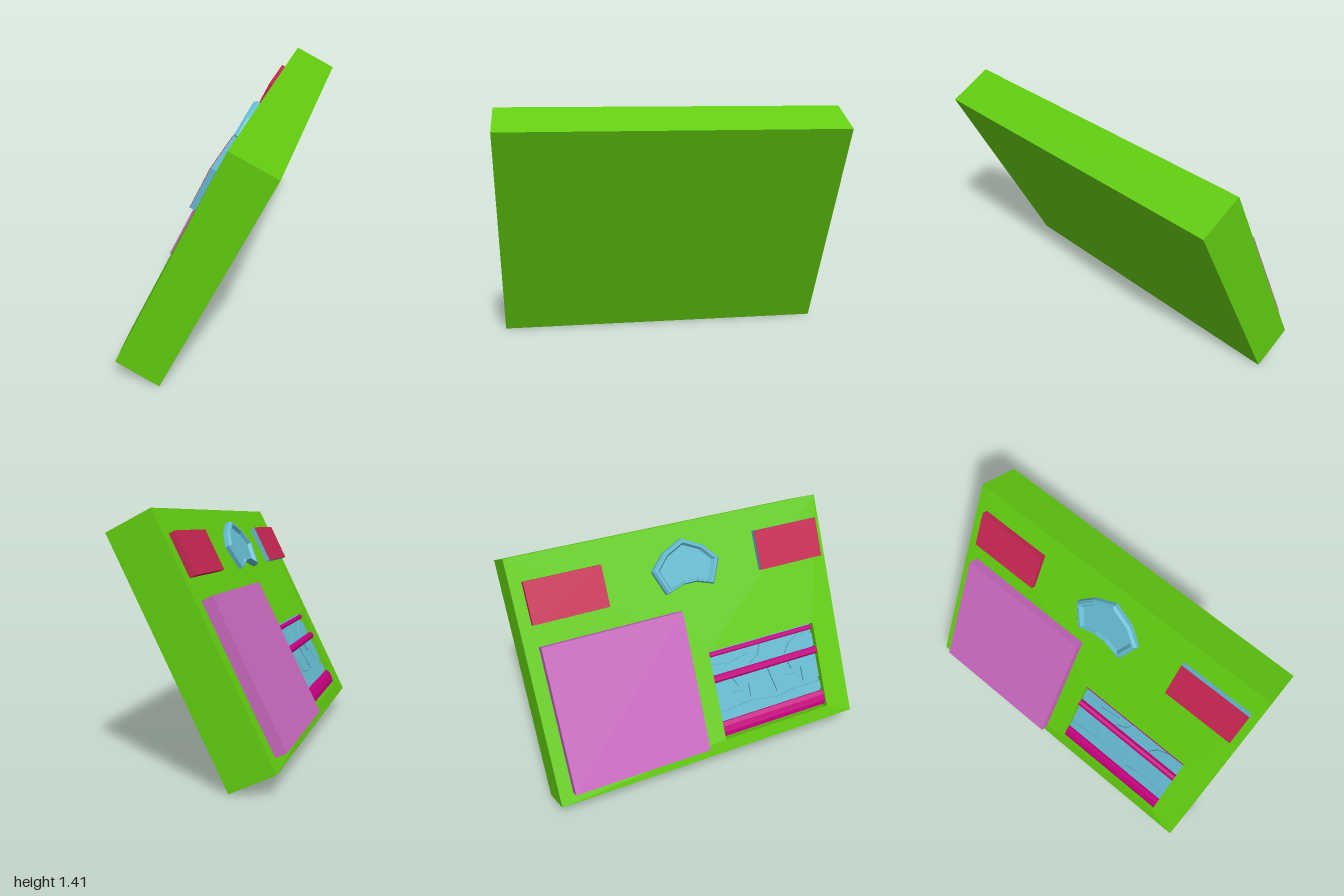
import * as THREE from 'three';

const material = (color) => new THREE.MeshStandardMaterial({ color, flatShading: true });
const GREEN = material(0x62cc10);
const PINK = material(0xc868be);
const BLUE = material(0x64b9cf);
const RED = material(0xc4264f);
const MAGENTA = material(0xc4007e);

// All parts are laid out on the panel: x across, y up the slope, z out of the face
function add(parent, name, geometry, mat) {
  const mesh = new THREE.Mesh(geometry, mat);
  mesh.name = name;
  parent.add(mesh);
  return mesh;
}

function block(parent, name, mat, [x0, x1], [y0, y1], [z0, z1]) {
  const mesh = add(parent, name, new THREE.BoxGeometry(x1 - x0, y1 - y0, z1 - z0), mat);
  mesh.position.set((x0 + x1) / 2, (y0 + y1) / 2, (z0 + z1) / 2);
  return mesh;
}

// Slab skinned over rectangular loops, from its back up to the pocket floor
function slabGeometry(loops) {
  const rings = loops.map(([x0, x1, y0, y1, z]) => [[x0, y0, z], [x1, y0, z], [x1, y1, z], [x0, y1, z]]);
  const pos = [];
  const quad = (a, b, c, d) => pos.push(...a, ...b, ...c, ...a, ...c, ...d);
  for (let i = 0; i < rings.length - 1; i++) {
    for (let k = 0; k < 4; k++) {
      const n = (k + 1) % 4;
      quad(rings[i][k], rings[i][n], rings[i + 1][n], rings[i + 1][k]);
    }
  }
  const [a, b, c, d] = rings[0];
  quad(d, c, b, a);
  quad(...rings[rings.length - 1]);
  const geometry = new THREE.BufferGeometry();
  geometry.setAttribute('position', new THREE.Float32BufferAttribute(pos, 3));
  geometry.computeVertexNormals();
  return geometry;
}

const outline = (points) => points.map(([x, y]) => new THREE.Vector2(x, y));

function plate(parent, name, mat, points, z, depth, hole) {
  const shape = new THREE.Shape(outline(points));
  if (hole) shape.holes.push(new THREE.Path(outline(hole)));
  const mesh = add(parent, name, new THREE.ExtrudeGeometry(shape, { depth, bevelEnabled: false }), mat);
  mesh.position.z = z;
  return mesh;
}

export function createModel() {
  const root = new THREE.Group();
  const panel = new THREE.Group();
  panel.name = 'tiltedPanel';
  const up = new THREE.Vector3(0.443, 0.897, 0).normalize();
  const out = new THREE.Vector3(-up.y, up.x, 0);
  panel.quaternion.setFromRotationMatrix(
    new THREE.Matrix4().makeBasis(new THREE.Vector3(0, 0, 1), up, out));
  panel.position.set(-0.43, 0.125, 0);
  root.add(panel);

  // Slab with a face rising gently to the rim of a pocket
  add(panel, 'slab', slabGeometry([
    [-1, 1, 0, 1.433, -0.275],
    [-1, 1, 0, 1.433, 0],
    [0.07, 0.82, 0.08, 0.64, 0.015],
    [0.07, 0.82, 0.08, 0.64, -0.04],
  ]), GREEN);

  // Screen block and the two upper buttons
  block(panel, 'screen', PINK, [-0.92, -0.065], [0.065, 0.924], [-0.02, 0.067]);
  block(panel, 'redButton', RED, [-0.93, -0.48], [1.05, 1.293], [-0.02, 0.036]);
  block(panel, 'blueButton', BLUE, [0.51, 0.955], [1.05, 1.293], [-0.02, 0.035]);
  block(panel, 'blueButtonCap', RED, [0.51, 0.955], [1.05, 1.293], [0.034, 0.037]);

  // Badge: sloped outer edge, raised rim and sunken middle
  const half = [[0, 1.34], [-0.13, 1.278], [-0.218, 1.185], [-0.155, 1.037], [-0.045, 1.073]];
  const badge = [...half, ...half.slice(1).reverse().map(([x, y]) => [-x, y])]
    .map(([x, y]) => [x + 0.03, y]);
  const shrink = (s) => badge.map(([x, y]) => [0.03 + (x - 0.03) * s, 1.175 + (y - 1.175) * s]);
  const badgeGroup = new THREE.Group();
  badgeGroup.name = 'badge';
  panel.add(badgeGroup);
  const levels = [[1, -0.01], [1, 0.03], [0.93, 0.046], [0.86, 0.046], [0.78, 0.026]];
  const loops = levels.map(([s, z]) => shrink(s).map(([x, y]) => [x, y, z]));
  const pos = [];
  for (let i = 0; i < loops.length - 1; i++) {
    badge.forEach((_, k) => {
      const n = (k + 1) % badge.length;
      const [a, b, c, d] = [loops[i][k], loops[i][n], loops[i + 1][n], loops[i + 1][k]];
      pos.push(...a, ...b, ...c, ...a, ...c, ...d);
    });
  }
  const rim = new THREE.BufferGeometry();
  rim.setAttribute('position', new THREE.Float32BufferAttribute(pos, 3));
  rim.computeVertexNormals();
  add(badgeGroup, 'badgeRim', rim, BLUE);
  plate(badgeGroup, 'badgeMiddle', BLUE, shrink(0.78), 0, 0.026);

  // Pocket lining with raised, jagged plating
  block(panel, 'pocketLining', BLUE, [0.07, 0.82], [0.1, 0.64], [-0.05, -0.03]);
  const plating = [
    [[0.07, 0.2], [0.82, 0.2], [0.82, 0.25], [0.6, 0.25], [0.52, 0.23], [0.3, 0.26], [0.07, 0.24]],
    [[0.07, 0.27], [0.26, 0.29], [0.26, 0.34], [0.19, 0.34], [0.15, 0.43], [0.07, 0.43]],
    [[0.21, 0.43], [0.24, 0.37], [0.31, 0.37], [0.31, 0.29], [0.43, 0.27], [0.46, 0.36], [0.4, 0.43]],
    [[0.5, 0.27], [0.66, 0.28], [0.66, 0.35], [0.58, 0.35], [0.55, 0.43], [0.46, 0.43]],
    [[0.7, 0.28], [0.82, 0.28], [0.82, 0.43], [0.61, 0.43], [0.63, 0.38], [0.7, 0.38]],
    [[0.07, 0.49], [0.3, 0.49], [0.38, 0.53], [0.34, 0.56], [0.2, 0.53], [0.07, 0.55]],
    [[0.34, 0.49], [0.56, 0.49], [0.52, 0.56], [0.43, 0.59], [0.41, 0.53]],
    [[0.6, 0.49], [0.82, 0.49], [0.82, 0.57], [0.72, 0.59], [0.64, 0.55]],
  ];
  plating.forEach((points) => plate(panel, 'pocketPlate', BLUE, points, -0.035, 0.017));

  // Three bars across the pocket: height up the slope, then thickness
  const bars = [[0.14, -0.012, 0.05, 0.016], [0.46, -0.008, 0.024, 0.022], [0.612, -0.02, 0.016, 0.014]];
  for (const [y, z, ry, rz] of bars) {
    const geometry = new THREE.CylinderGeometry(1, 1, 0.75, 8).rotateZ(Math.PI / 2).rotateX(Math.PI / 8);
    geometry.scale(1, ry, rz);
    add(panel, 'pocketBar', geometry, MAGENTA).position.set(0.445, y, z);
  }
  return root;
}
